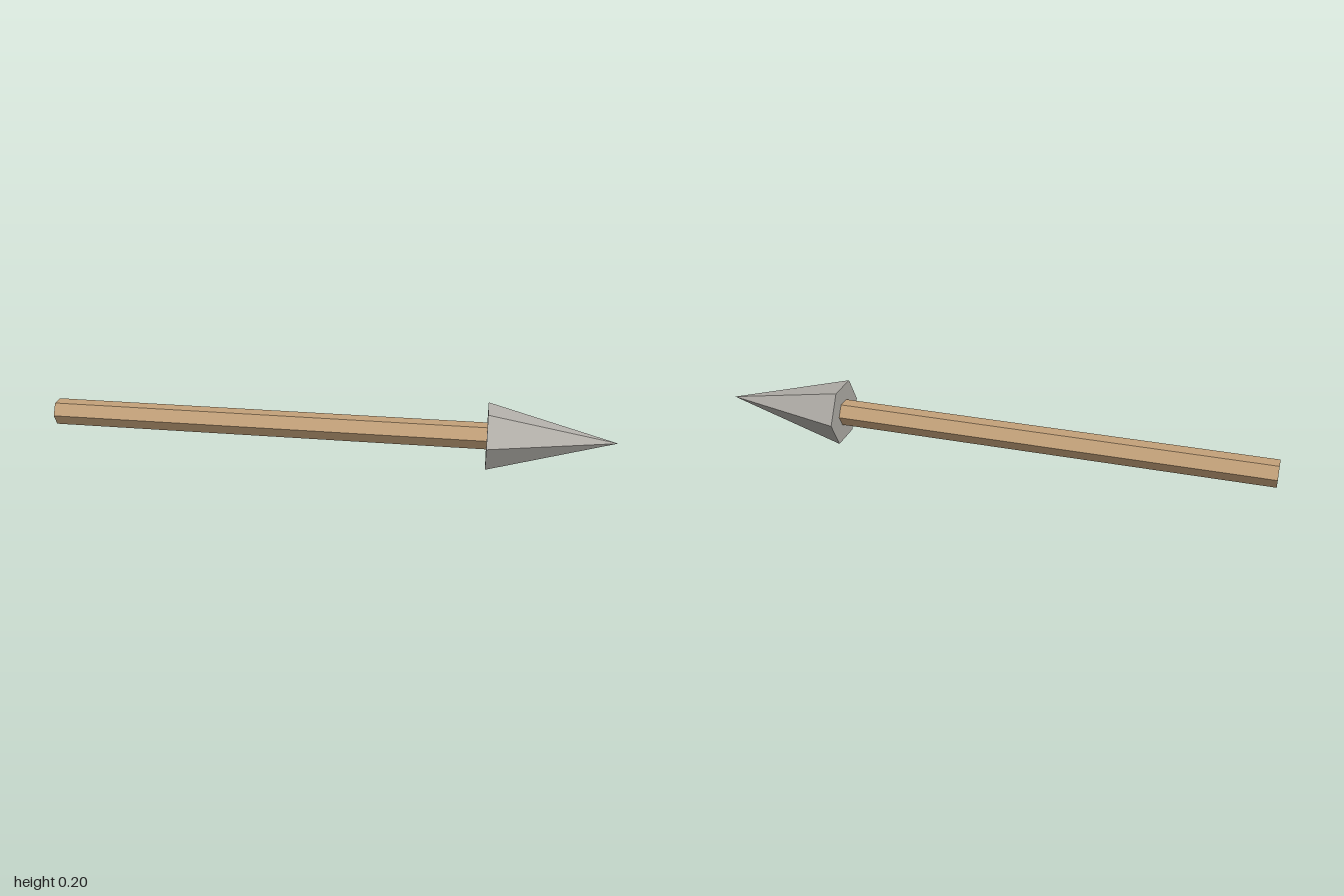
import * as THREE from 'three';

const AXIS_Y = 0.102;

export function createModel() {
  const wood = new THREE.MeshStandardMaterial({ color: 0xc4a27a, flatShading: true });
  wood.name = 'wood';
  const stone = new THREE.MeshStandardMaterial({ color: 0xb4b1ab, flatShading: true });
  stone.name = 'stone';

  const model = new THREE.Group();
  model.name = 'arrow';

  // Six-sided bar lying along x, with an edge facing front and back
  function addBar(name, tipRadius, baseRadius, x0, x1, material) {
    const geometry = new THREE.CylinderGeometry(tipRadius, baseRadius, x1 - x0, 6);
    geometry.rotateZ(-Math.PI / 2);
    const mesh = new THREE.Mesh(geometry, material);
    mesh.position.set((x0 + x1) / 2, AXIS_Y, 0);
    mesh.name = name;
    model.add(mesh);
  }

  addBar('shaft', 0.047, 0.047, -1, 0.56, wood);
  addBar('head', 0, 0.118, 0.555, 1, stone);

  return model;
}
